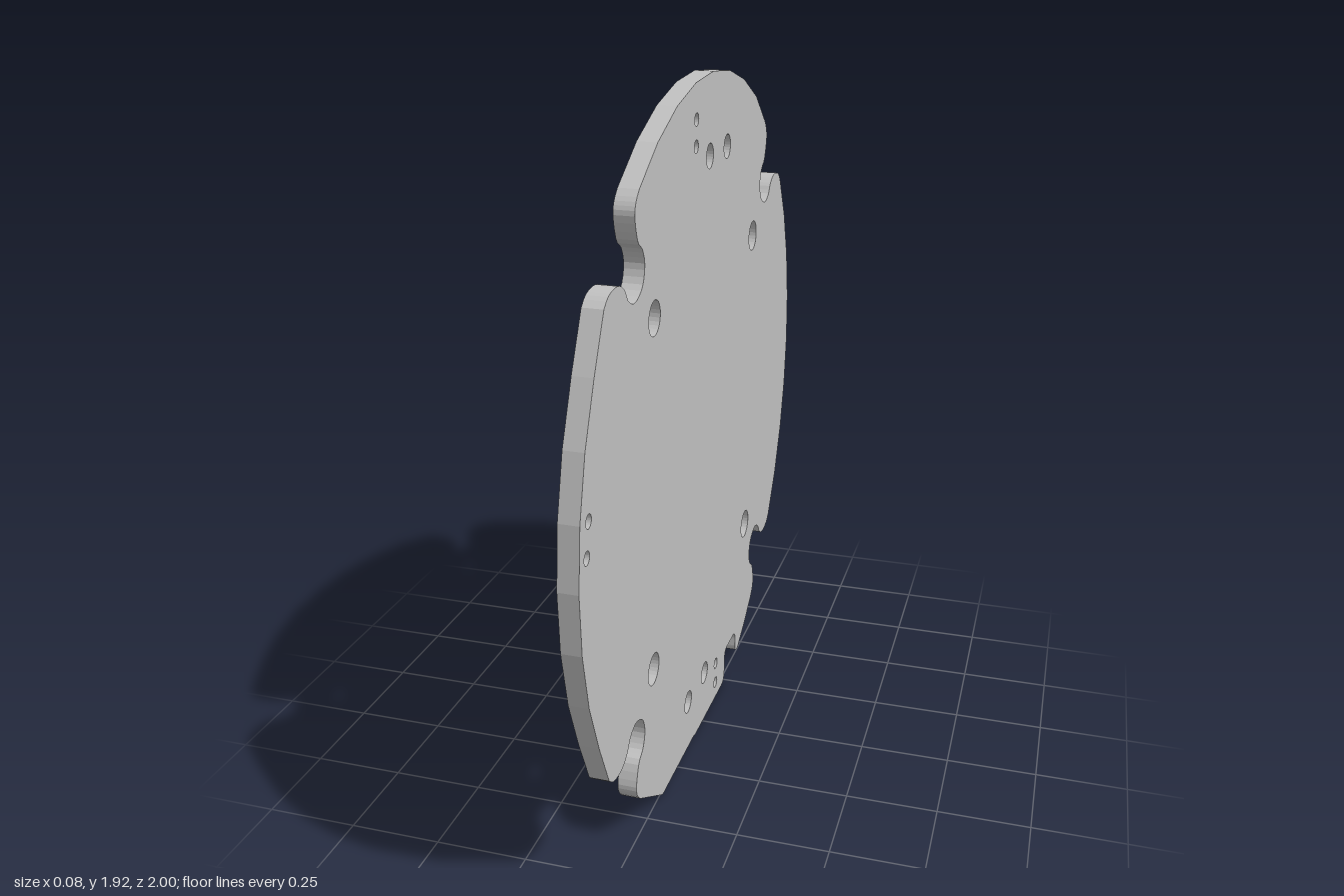
import * as THREE from 'three';

const CU = -0.009, CY = 0.929; // centre the four notches mirror about
const THICK = 0.051;

// One notch with its two rounded lobes, from the end lobe to the side lobe
const NOTCH = new THREE.SplineCurve([
  [0.585, 0.797], [0.608, 0.772], [0.616, 0.74], [0.596, 0.682], [0.563, 0.657],
  [0.547, 0.616], [0.565, 0.57], [0.616, 0.547], [0.66, 0.562], [0.684, 0.592],
  [0.715, 0.61], [0.75, 0.614], [0.79, 0.606], [0.818, 0.585],
].map(([a, b]) => new THREE.Vector2(a, b))).getPoints(40);

function notch(su, sy) {
  return NOTCH.map(p => new THREE.Vector2(CU + su * p.x, CY + sy * p.y));
}

// Faceted rim between two angles in degrees, end points left out
function rim(from, to, steps, r) {
  const pts = [];
  for (let i = 1; i < steps; i++) {
    const t = THREE.MathUtils.degToRad(from + (to - from) * i / steps);
    pts.push(new THREE.Vector2(r * Math.cos(t), CY + r * Math.sin(t)));
  }
  return pts;
}

function plateShape() {
  const s = new THREE.Shape();
  const line = pts => pts.forEach(p => s.lineTo(p.x, p.y));
  // Flat foot and small slot beside it
  s.moveTo(-0.4, 0.01);
  s.lineTo(-0.09, 0.008);
  s.lineTo(-0.085, 0.003);
  s.lineTo(0.215, 0);
  s.quadraticCurveTo(0.247, 0.002, 0.247, 0.035);
  s.lineTo(0.247, 0.078);
  s.quadraticCurveTo(0.247, 0.108, 0.277, 0.108);
  s.lineTo(0.347, 0.108);
  s.quadraticCurveTo(0.377, 0.108, 0.377, 0.078);
  s.lineTo(0.377, 0.055);
  s.quadraticCurveTo(0.38, 0.025, 0.415, 0.028);
  s.lineTo(0.5, 0.077);
  // Right side, top, left side
  line(notch(1, -1));
  line(rim(-36, 36, 8, 1));
  line(notch(1, 1).reverse());
  line(rim(53, 127, 8, 0.994));
  line(notch(-1, 1));
  line(rim(144, 216, 8, 1));
  line(notch(-1, -1).reverse());
  s.closePath();

  const hole = (u, y, r) => s.holes.push(new THREE.Path().absarc(u, y, r, 0, Math.PI * 2, true));
  // Four mounting holes
  for (const u of [-0.483, 0.464]) for (const y of [0.456, 1.402]) hole(u, y, 0.044);
  // Paired medium holes
  for (const [u, y] of [[-0.023, 1.712], [0.148, 1.712], [-0.16, 0.163], [0.01, 0.163]]) hole(u, y, 0.033);
  // Paired pin holes
  for (const [u, y] of [[-0.15, 1.82], [-0.15, 1.754], [0.139, 0.122], [0.139, 0.055],
    [-0.936, 1.075], [-0.95, 0.994]]) hole(u, y, 0.017);
  return s;
}

export function createModel() {
  const group = new THREE.Group();
  group.name = 'mountingPlate';
  const grey = new THREE.MeshStandardMaterial({ color: 0xc0c0c0 });
  grey.name = 'light grey';

  const geo = new THREE.ExtrudeGeometry(plateShape(), { depth: THICK, bevelEnabled: false, curveSegments: 14 });
  // Stand the plate facing sideways, leaning very slightly
  geo.translate(0, -0.96, -THICK / 2);
  geo.rotateY(Math.PI / 2);
  geo.rotateZ(-0.0145);
  geo.computeBoundingBox();
  geo.translate(0, -geo.boundingBox.min.y, 0);

  const plate = new THREE.Mesh(geo, grey);
  plate.name = 'plate';
  group.add(plate);
  return group;
}
